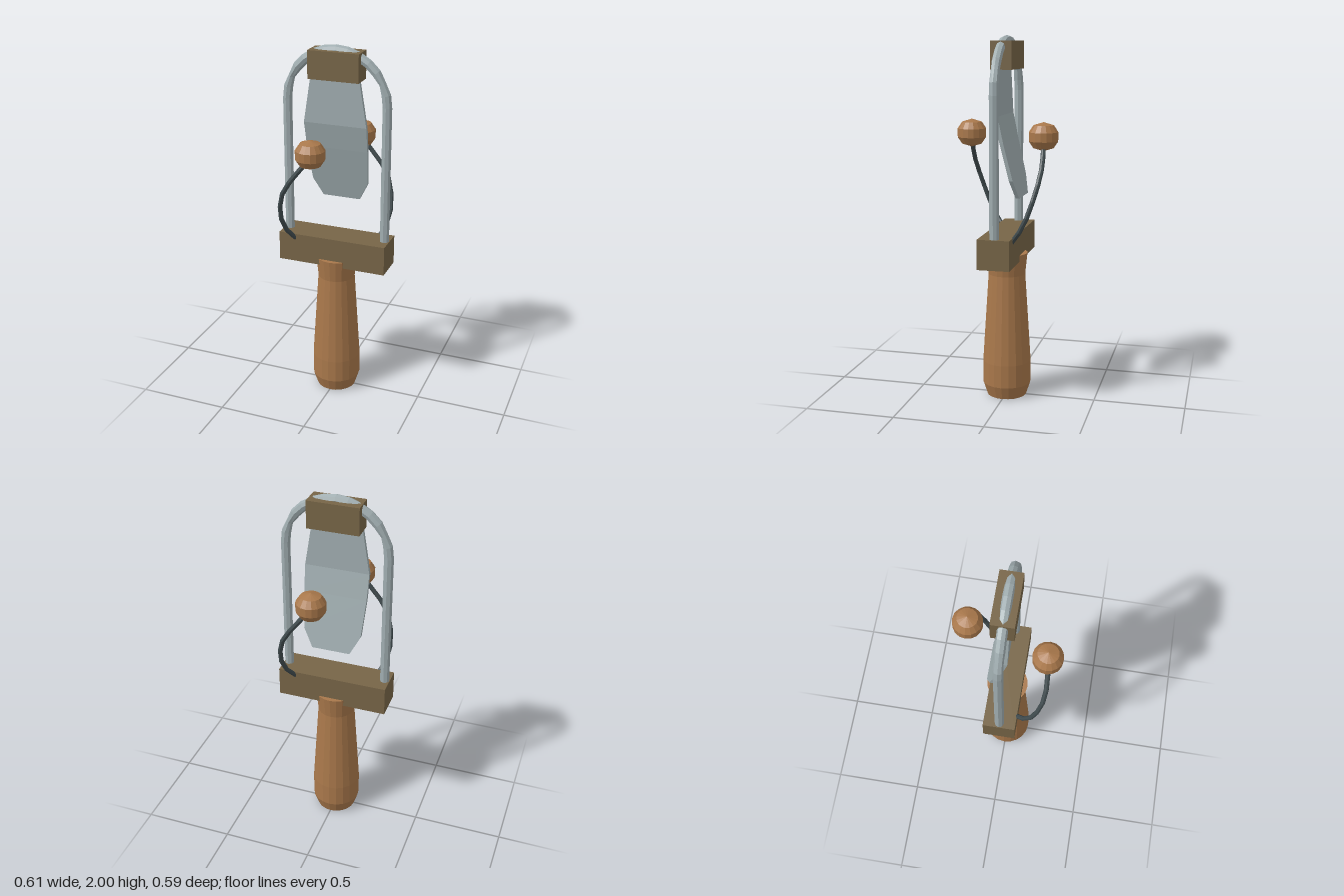
import * as THREE from 'three';

const steel = new THREE.MeshStandardMaterial({ color: 0xa0adb0 });
steel.name = 'steel';
const darkWire = new THREE.MeshStandardMaterial({ color: 0x414c4f });
darkWire.name = 'dark wire';
const turnedWood = new THREE.MeshStandardMaterial({ color: 0xa9784b });
turnedWood.name = 'turned wood';
const blockWood = new THREE.MeshStandardMaterial({ color: 0x776547 });
blockWood.name = 'block wood';

// Faceted mesh: separate faces, one normal each
function part(name, geometry, material, x = 0, y = 0, z = 0) {
  const flat = geometry.index ? geometry.toNonIndexed() : geometry;
  flat.computeVertexNormals();
  const mesh = new THREE.Mesh(flat, material);
  mesh.name = name;
  mesh.position.set(x, y, z);
  return mesh;
}

function lathe(profile, sides) {
  return new THREE.LatheGeometry(profile.map(([r, y]) => new THREE.Vector2(r, y)), sides);
}

// Half-ring with a slight pinch where it is bent from the legs
function archGeometry(radius, tube) {
  const arch = new THREE.TorusGeometry(radius, tube, 8, 14, Math.PI);
  const p = arch.attributes.position;
  for (let i = 0; i < p.count; i++) {
    const segment = i % 15;
    if (segment !== 2 && segment !== 12) continue;
    const a = (segment / 14) * Math.PI;
    const cx = radius * Math.cos(a), cy = radius * Math.sin(a);
    p.setXYZ(i, cx + (p.getX(i) - cx) * 0.7, cy + (p.getY(i) - cy) * 0.7, p.getZ(i) * 0.9);
  }
  return arch;
}

// Bent plate: a box whose rows follow [y, half width, z]
function tongueGeometry() {
  const rows = [
    [1.86, 0.13, 0.02], [1.58, 0.175, 0.017], [1.44, 0.172, -0.012],
    [1.24, 0.158, -0.06], [1.14, 0.105, -0.084],
  ];
  const plate = new THREE.BoxGeometry(2, 1, 0.02, 1, rows.length - 1, 1);
  const p = plate.attributes.position;
  for (let i = 0; i < p.count; i++) {
    const [y, half, z] = rows[Math.round((0.5 - p.getY(i)) * (rows.length - 1))];
    p.setXYZ(i, p.getX(i) * half, y, p.getZ(i) + z);
  }
  return plate;
}

// Bent wire carrying a wooden ball
function beater(name) {
  const group = new THREE.Group();
  group.name = name;
  const path = new THREE.CatmullRomCurve3([
    [-0.212, 0.918, 0.075], [-0.254, 1.02, 0.148], [-0.236, 1.2, 0.212],
    [-0.175, 1.31, 0.229], [-0.095, 1.41, 0.222], [-0.065, 1.45, 0.215],
  ].map((v) => new THREE.Vector3(...v)));
  group.add(part(name + 'Wire', new THREE.TubeGeometry(path, 7, 0.013, 8), darkWire));
  const ball = lathe([
    [0, -0.077], [0.055, -0.06], [0.079, -0.024],
    [0.079, 0.024], [0.055, 0.06], [0, 0.077],
  ], 16);
  group.add(part(name + 'Ball', ball, turnedWood, -0.062, 1.471, 0.215));
  return group;
}

export function createModel() {
  const model = new THREE.Group();
  model.name = 'handClapper';

  // Turned handle
  model.add(part('handle', lathe([
    [0, 0], [0.11, 0], [0.134, 0.072], [0.134, 0.2],
    [0.102, 0.7], [0.115, 0.82], [0, 0.82],
  ], 20), turnedWood));

  // Blocks
  model.add(part('baseBlock', new THREE.BoxGeometry(0.612, 0.163, 0.176), blockWood, 0, 0.867, 0));
  model.add(part('topBlock', new THREE.BoxGeometry(0.28, 0.15, 0.116), blockWood, 0, 1.896, -0.002));

  // Rod frame
  const R = 0.278, r = 0.026, archY = 1.696;
  for (const side of [-1, 1]) {
    const leg = new THREE.CylinderGeometry(r, r, archY - 0.9, 8, 1, true);
    leg.rotateY(Math.PI / 2);
    model.add(part(side > 0 ? 'leftLeg' : 'rightLeg', leg, steel, side * R, (archY + 0.9) / 2, 0));
  }
  model.add(part('frameArch', archGeometry(R, r), steel, 0, archY, 0));

  // Hanging tongue
  model.add(part('tongue', tongueGeometry(), steel));

  // Front beater and its half-turn twin at the back
  model.add(beater('frontBeater'));
  const back = beater('backBeater');
  back.rotation.y = Math.PI;
  model.add(back);

  return model;
}
